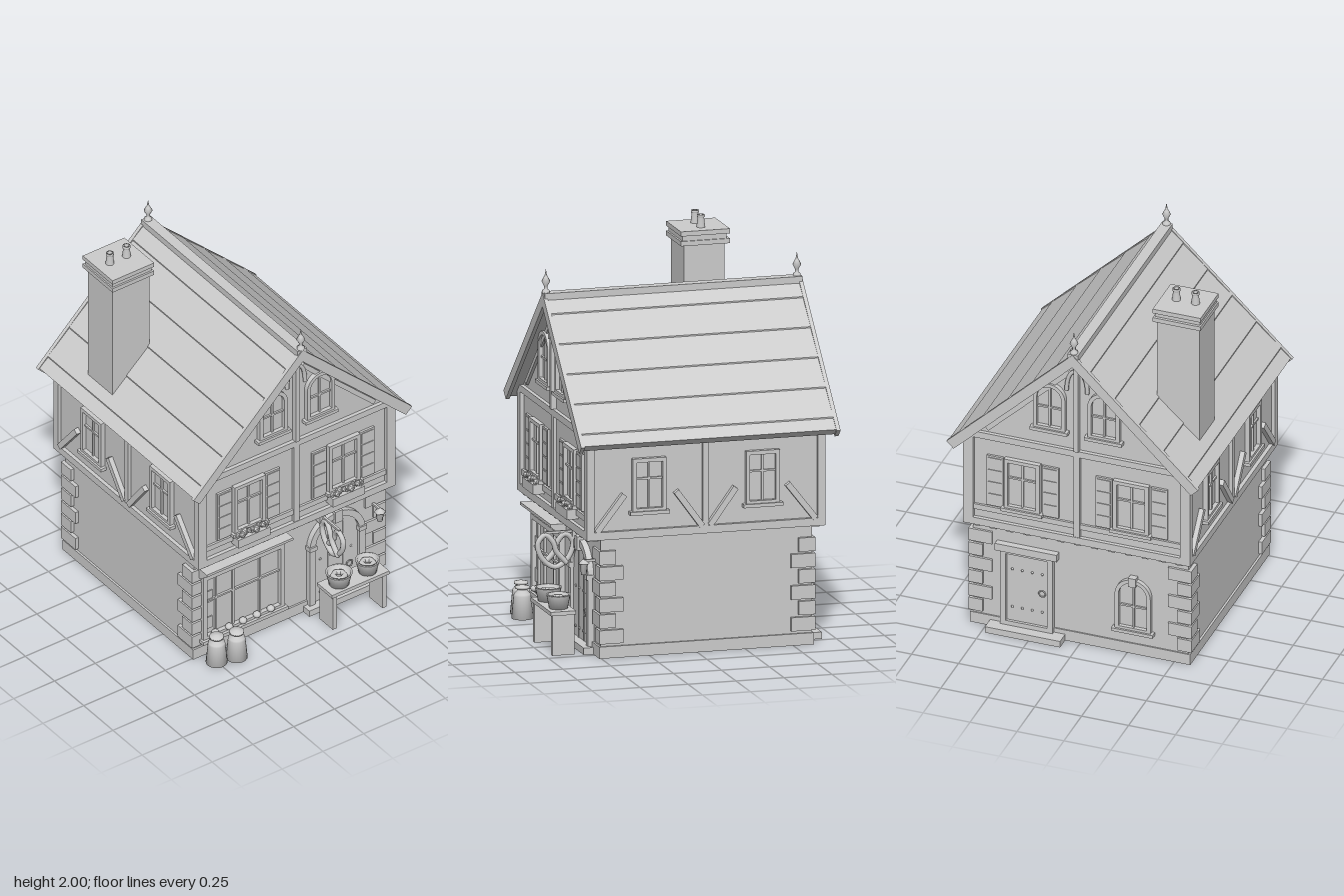
import * as THREE from 'three';

const grey = new THREE.MeshStandardMaterial({ color: 0xcccccc });
grey.name = 'plain grey';

function add(parent, name, geo, x = 0, y = 0, z = 0) {
  const m = new THREE.Mesh(geo, grey);
  m.name = name;
  m.position.set(x, y, z);
  parent.add(m);
  return m;
}
// box centred in x, standing on y, with its back at z
const box = (p, name, x, y, z, w, h, d) =>
  add(p, name, new THREE.BoxGeometry(w, h, d), x, y + h / 2, z + d / 2);
const lathe = (p, name, pts, x, y, z, n = 20) =>
  add(p, name, new THREE.LatheGeometry(pts.map(a => new THREE.Vector2(...a)), n), x, y, z);
const poly = pts => new THREE.Shape(pts.map(a => new THREE.Vector2(...a)));
const extrude = (p, name, shape, z, d, x = 0, y = 0) =>
  add(p, name, new THREE.ExtrudeGeometry(shape, { depth: d, bevelEnabled: false, curveSegments: 12 }), x, y, z);
// straight timber between two points of a wall
function bar(p, name, x1, y1, x2, y2, w, d) {
  const m = add(p, name, new THREE.BoxGeometry(Math.hypot(x2 - x1, y2 - y1), w, d), (x1 + x2) / 2, (y1 + y2) / 2, d / 2);
  m.rotation.z = Math.atan2(y2 - y1, x2 - x1);
}
// a wall frame: local z points out of the wall
function wall(root, name, x, z, turn) {
  const g = new THREE.Group();
  g.name = name;
  g.position.set(x, 0, z);
  g.rotation.y = turn;
  root.add(g);
  return g;
}
function outline(w, h, arch, inset = 0) {
  const s = new THREE.Shape(), r = w / 2 - inset;
  s.moveTo(-r, inset);
  s.lineTo(r, inset);
  if (arch) s.absarc(0, h - w / 2, r, 0, Math.PI, false);
  else { s.lineTo(r, h - inset); s.lineTo(-r, h - inset); }
  s.closePath();
  return s;
}
function frame(p, name, x, y, w, h, arch, t, d) {
  const s = outline(w, h, arch);
  s.holes.push(outline(w, h, arch, t));
  extrude(p, name, s, 0, d, x, y);
}
function windowUnit(p, x, y, w, h, arch = false) {
  frame(p, 'windowFrame', x, y, w, h, arch, 0.02, 0.025);
  extrude(p, 'windowGlass', outline(w, h, arch, 0.02), 0, 0.004, x, y);
  box(p, 'mullion', x, y + 0.01, 0, 0.01, h - 0.02, 0.014);
  box(p, 'glazingBar', x, y + h * (arch ? 0.45 : 0.6), 0, w - 0.02, 0.01, 0.014);
  box(p, 'windowSill', x, y - 0.012, 0, w + 0.03, 0.018, 0.035);
}

// timbered gable with two storeys of windows; used front and back
function gableWall(root, name, z, turn) {
  const g = wall(root, name, 0, z, turn);
  box(g, 'sillBeam', 0, 0.61, 0, 1.21, 0.04, 0.02);
  box(g, 'lowerRail', 0, 0.695, 0, 1.12, 0.03, 0.012);
  box(g, 'tieBeam', 0, 1.12, 0, 1.2, 0.035, 0.02);
  box(g, 'centrePost', 0, 0.65, 0, 0.032, 0.47, 0.018);
  box(g, 'kingPost', 0, 1.155, 0, 0.025, 0.52, 0.03);
  for (let i = 0; i < 13; i++) box(g, 'joistEnd', (i - 6) * 0.09, 0.595, -0.05, 0.035, 0.03, 0.055);
  for (const s of [-1, 1]) {
    box(g, 'cornerPost', s * 0.578, 0.61, 0, 0.054, 0.54, 0.02);
    bar(g, 'gableBrace', s * 0.48, 1.18, s * 0.04, 1.605, 0.025, 0.015);
    const c = new THREE.QuadraticBezierCurve3(new THREE.Vector3(s * 0.055, 1.5, 0.012),
      new THREE.Vector3(s * 0.055, 1.6, 0.012), new THREE.Vector3(s * 0.008, 1.62, 0.012));
    add(g, 'curvedBrace', new THREE.TubeGeometry(c, 8, 0.011, 6));
    windowUnit(g, s * 0.145, 1.25, 0.17, 0.27, true);
    windowUnit(g, s * 0.29, 0.74, 0.19, 0.29);
    for (const t of [-1, 1]) {
      const x = s * 0.29 + t * 0.147;
      box(g, 'shutter', x, 0.735, 0, 0.088, 0.29, 0.012);
      for (let i = 0; i < 4; i++) box(g, 'shutterPanel', x, 0.743 + i * 0.07, 0.012, 0.07, 0.062, 0.004);
    }
  }
  return g;
}

// timbered long wall
function longWall(root, name, x, turn) {
  const g = wall(root, name, x, -0.04, turn);
  box(g, 'sillBeam', 0, 0.61, 0, 1.24, 0.04, 0.02);
  box(g, 'centrePost', 0, 0.65, 0, 0.032, 0.48, 0.018);
  for (const s of [-1, 1]) {
    box(g, 'cornerPost', s * 0.6, 0.61, 0, 0.035, 0.52, 0.02);
    bar(g, 'brace', s * 0.02, 0.65, s * 0.155, 0.835, 0.03, 0.025);
    bar(g, 'brace', s * 0.57, 0.65, s * 0.425, 0.835, 0.03, 0.025);
    windowUnit(g, s * 0.295, 0.74, 0.175, 0.275);
  }
}

function roof(root) {
  const k = 0.963, side = [];
  // stepped courses of slates along the slope
  for (const x of [0.09, 0.22, 0.35, 0.48, 0.61]) side.push([x, 1.75 - k * x], [x, 1.743 - k * x]);
  side.push([0.662, 1.109], [0.635, 1.08]);
  const mirror = a => a.map(([x, y]) => [-x, y]).reverse();
  extrude(root, 'roofSlates', poly([[0, 1.742], ...side, [0, 1.692], ...mirror(side)]), -0.705, 1.32);
  const board = [[0.67, 1.105], [0.632, 1.068]];
  for (const z of [-0.72, 0.61])
    extrude(root, 'bargeBoard', poly([[0, 1.752], ...board, [0, 1.68], ...mirror(board)]), z, 0.02);
  box(root, 'ridgeCap', 0, 1.705, -0.715, 0.056, 0.047, 1.34);
  for (const z of [-0.695, 0.612])
    lathe(root, 'finial', [[0.02, 0], [0.02, 0.012], [0.009, 0.02], [0.009, 0.035], [0.022, 0.06],
      [0.012, 0.08], [0.006, 0.09], [0, 0.125]], 0, 1.75, z, 10);
  // chimney
  box(root, 'chimneyStack', -0.452, 1.08, -0.42, 0.227, 0.85, 0.21);
  box(root, 'chimneyBand', -0.452, 1.862, -0.445, 0.255, 0.024, 0.255);
  box(root, 'chimneyNeck', -0.452, 1.886, -0.43, 0.24, 0.026, 0.23);
  box(root, 'chimneyCap', -0.452, 1.912, -0.445, 0.255, 0.024, 0.255);
  for (const x of [-0.505, -0.403])
    lathe(root, 'chimneyPot', [[0.022, 0], [0.016, 0.055], [0.02, 0.055], [0.02, 0.066], [0.011, 0.066], [0.011, 0.03], [0, 0.03]], x, 1.934, -0.317);
}

function shopWindow(g) {
  frame(g, 'shopFrame', -0.288, 0.1, 0.5, 0.4, false, 0.025, 0.03);
  box(g, 'shopGlass', -0.288, 0.12, 0, 0.46, 0.36, 0.006);
  for (const x of [-0.45, -0.345, -0.18]) box(g, 'mullion', x, 0.12, 0, 0.01, 0.36, 0.018);
  box(g, 'glazingBar', -0.288, 0.33, 0, 0.46, 0.01, 0.018);
  box(g, 'shopSill', -0.288, 0.09, 0, 0.52, 0.02, 0.045);
  // cornice with a sloping underside
  const c = extrude(g, 'shopCornice', poly([[0, 0.5], [0.025, 0.5], [0.08, 0.543], [0.08, 0.557], [0, 0.557]]), 0, 0.53, -0.023);
  c.rotation.y = -Math.PI / 2;
  for (let i = 0; i < 5; i++) {
    const b = add(g, 'bunInWindow', new THREE.SphereGeometry(0.021, 10, 8), -0.465 + i * 0.085, 0.13, 0.03);
    b.scale.y = 0.8;
  }
}

function frontDoor(g) {
  frame(g, 'doorArch', 0.285, 0, 0.34, 0.55, true, 0.035, 0.03);
  extrude(g, 'doorLeaf', outline(0.27, 0.515, true), 0, 0.012, 0.285, 0.0);
  box(g, 'keystone', 0.285, 0.495, 0, 0.046, 0.07, 0.042);
  for (const s of [-1, 1]) {
    box(g, 'impost', 0.285 + s * 0.152, 0.375, 0, 0.045, 0.025, 0.038);
    box(g, 'plankSeam', 0.285 + s * 0.045, 0.03, 0.012, 0.006, 0.45, 0.004);
  }
  for (const y of [0.085, 0.29])
    for (let i = 0; i < 4; i++) add(g, 'doorNail', new THREE.SphereGeometry(0.007, 6, 4), 0.19 + i * 0.063, y, 0.012);
  add(g, 'doorRing', new THREE.TorusGeometry(0.018, 0.004, 6, 16), 0.365, 0.19, 0.02);
  box(g, 'doorStep', 0.285, 0, 0, 0.39, 0.035, 0.06);
}

function backDoor(g) {
  frame(g, 'backDoorFrame', -0.28, 0.03, 0.28, 0.45, false, 0.03, 0.025);
  box(g, 'backDoorLeaf', -0.28, 0.05, 0, 0.22, 0.4, 0.01);
  box(g, 'backLintel', -0.28, 0.465, 0, 0.33, 0.04, 0.035);
  box(g, 'backStep', -0.28, 0, 0, 0.4, 0.035, 0.08);
  for (const y of [0.14, 0.36])
    for (let i = 0; i < 4; i++) add(g, 'doorNail', new THREE.SphereGeometry(0.007, 6, 4), -0.36 + i * 0.053, y, 0.01);
  add(g, 'doorRing', new THREE.TorusGeometry(0.017, 0.004, 6, 16), -0.2, 0.25, 0.015);
  windowUnit(g, 0.285, 0.14, 0.19, 0.3, true);
  box(g, 'windowKeystone', 0.285, 0.405, 0, 0.04, 0.05, 0.035);
}

function streetGoods(root) {
  // table with two bowls of produce
  box(root, 'tableTop', 0.287, 0.205, 0.595, 0.35, 0.02, 0.13);
  for (const x of [0.135, 0.44]) box(root, 'tableSide', x, 0, 0.6, 0.025, 0.205, 0.115);
  for (const [x, r] of [[0.2, 0.066], [0.375, 0.06]]) {
    lathe(root, 'bowl', [[0, 0], [r * 0.78, 0], [r, 0.066], [r + 0.003, 0.07], [r - 0.008, 0.07], [r - 0.012, 0.035], [0, 0.035]], x, 0.225, 0.66);
    for (let i = 0; i < 6; i++) {
      const a = i * 1.047;
      const m = add(root, 'produce', new THREE.CapsuleGeometry(0.014, 0.03, 3, 8), x + Math.cos(a) * 0.027, 0.273, 0.66 + Math.sin(a) * 0.027);
      m.rotation.set(Math.PI / 2, 0, a);
    }
  }
  // milk churns
  for (const [x, z] of [[-0.5, 0.59], [-0.395, 0.615]])
    lathe(root, 'milkChurn', [[0, 0], [0.055, 0], [0.044, 0.115], [0.042, 0.125], [0.026, 0.142], [0.026, 0.15],
      [0.036, 0.152], [0.036, 0.162], [0.012, 0.168], [0, 0.17]], x, 0, z);
  // hanging pretzel sign
  box(root, 'signPlate', 0.19, 0.53, 0.5, 0.035, 0.055, 0.035);
  box(root, 'signArm', 0.19, 0.563, 0.5, 0.012, 0.012, 0.18);
  const half = [[-0.55, -0.65], [-0.05, -0.05], [0.15, 0.5], [0.55, 0.88], [0.95, 0.45], [0.72, -0.4]];
  const pts = [...half, [0, -0.9], ...half.map(([u, v]) => [-u, v]).reverse()]
    .map(([u, v], i) => new THREE.Vector3(0.19 + (i < 3 ? 0.007 : i > 9 ? -0.007 : 0), 0.475 + v * 0.093, 0.62 + u * 0.095));
  add(root, 'pretzel', new THREE.TubeGeometry(new THREE.CatmullRomCurve3(pts), 72, 0.014, 8));
  for (const i of [0, pts.length - 1]) add(root, 'pretzelEnd', new THREE.SphereGeometry(0.014, 8, 6), ...pts[i].toArray());
  // wall lantern
  box(root, 'lanternArm', 0.515, 0.485, 0.5, 0.012, 0.012, 0.07);
  lathe(root, 'lantern', [[0, 0], [0.014, 0], [0.022, 0.055], [0.03, 0.057], [0.01, 0.075], [0, 0.08]], 0.515, 0.42, 0.57, 6);
}

export function createModel() {
  const root = new THREE.Group();
  root.name = 'timberedShop';
  // masses
  box(root, 'plinth', 0, 0, -0.607, 1.172, 0.06, 1.117);
  box(root, 'groundFloor', 0, 0.02, -0.6, 1.15, 0.6, 1.1);
  extrude(root, 'upperFloor', poly([[-0.585, 0.612], [0.585, 0.612], [0.585, 1.16], [0, 1.71], [-0.585, 1.16]]), -0.64, 1.2);
  roof(root);
  // upper walls
  const front = gableWall(root, 'frontGable', 0.56, 0);
  gableWall(root, 'backGable', -0.64, Math.PI);
  longWall(root, 'leftWall', 0.585, Math.PI / 2);
  longWall(root, 'rightWall', -0.585, -Math.PI / 2);
  for (const s of [-1, 1]) {
    box(front, 'flowerBox', s * 0.29, 0.675, 0, 0.195, 0.05, 0.06);
    for (let i = 0; i < 9; i++)
      add(front, 'flower', new THREE.IcosahedronGeometry(0.015 + (i % 3) * 0.003, 0), s * 0.29 - 0.085 + i * 0.021, 0.735 + (i * 5 % 4) * 0.005, 0.035 + (i % 2) * 0.012);
  }
  // corner stones, long and short in turn
  for (const s of [-1, 1])
    for (const [z, t] of [[0.5, 1], [-0.6, -1]])
      for (let i = 0; i < 6; i++) {
        const w = i % 2 ? 0.125 : 0.075, d = i % 2 ? 0.085 : 0.125;
        add(root, 'cornerStone', new THREE.BoxGeometry(w, 0.07, d),
          s * (0.594 - w / 2), 0.11 + i * 0.081, z + t * (0.012 - d / 2));
      }
  // ground floor fittings
  const shop = wall(root, 'shopFront', 0, 0.5, 0);
  shopWindow(shop);
  frontDoor(shop);
  backDoor(wall(root, 'groundBack', 0, -0.6, Math.PI));
  streetGoods(root);
  return root;
}
